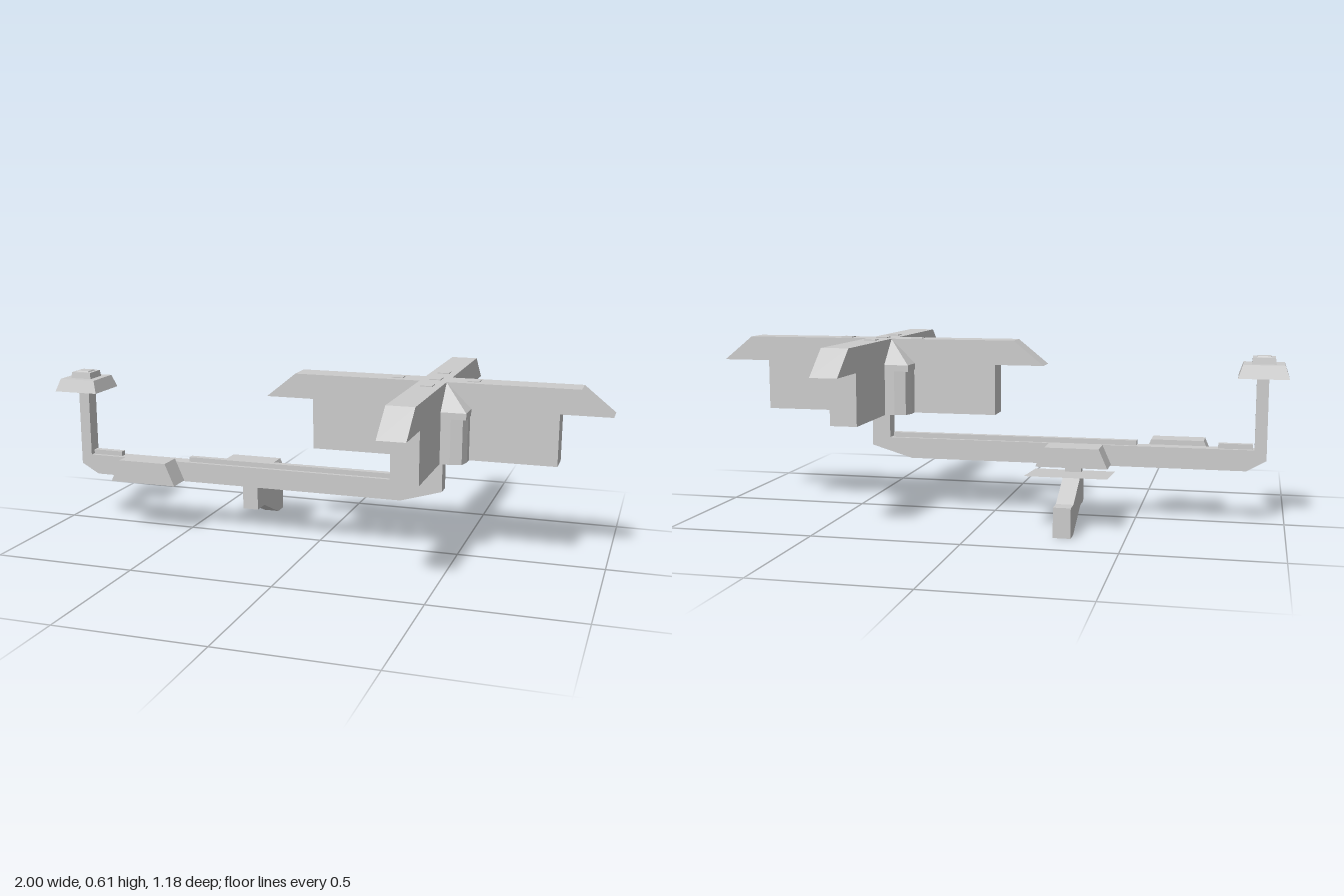
import * as THREE from 'three';

const material = new THREE.MeshStandardMaterial({ color: 0xcccccc, flatShading: true });
const thin = new THREE.MeshStandardMaterial({ color: 0xcccccc, flatShading: true, side: THREE.DoubleSide });

export function createModel() {
  const model = new THREE.Group();

  function add(parent, name, geometry, mat = material) {
    const mesh = new THREE.Mesh(geometry, mat);
    mesh.name = name;
    parent.add(mesh);
    return mesh;
  }
  // Box given by its lower and upper limits
  function box(parent, name, [x0, x1], [y0, y1], [z0, z1]) {
    const g = new THREE.BoxGeometry(x1 - x0, y1 - y0, z1 - z0);
    return add(parent, name, g.translate((x0 + x1) / 2, (y0 + y1) / 2, (z0 + z1) / 2));
  }
  // Outline in x-y, extruded from z0 to z1
  function prism(points, z0, z1) {
    const shape = new THREE.Shape(points.map(([x, y]) => new THREE.Vector2(x, y)));
    return new THREE.ExtrudeGeometry(shape, { depth: z1 - z0, bevelEnabled: false }).translate(0, 0, z0);
  }
  // Square frustum standing on y0
  function frustum(bottom, top, y0, y1) {
    const r = Math.SQRT2;
    return new THREE.CylinderGeometry(top * r, bottom * r, y1 - y0, 4)
      .rotateY(Math.PI / 4).translate(0, (y0 + y1) / 2, 0);
  }

  // Cross-shaped hall
  const hall = new THREE.Group();
  hall.name = 'crossHall';
  hall.position.x = 0.41;
  model.add(hall);
  for (const turn of [0, Math.PI / 2]) {
    const wing = new THREE.Group();
    wing.name = 'wing';
    wing.rotation.y = turn;
    hall.add(wing);
    // Wall and overhanging roof share one outline
    add(wing, 'wallAndRoof', prism([
      [-0.42, 0.35], [0.42, 0.35], [0.42, 0.525], [0.59, 0.525],
      [0.485, 0.61], [-0.485, 0.61], [-0.59, 0.525], [-0.42, 0.525],
    ], -0.046, 0.046));
    for (const s of [-1, 1]) {
      box(wing, 'roofHatch', [s * 0.13 - 0.02, s * 0.13 + 0.02], [0.6, 0.613], [-0.02, 0.02]);
    }
  }
  box(hall, 'centreHatch', [-0.02, 0.02], [0.6, 0.613], [-0.02, 0.02]);

  // Faceted turrets filling the four inner corners
  const plan = [];
  for (let i = 0; i < 4; i++) {
    const c = Math.round(Math.cos(i * Math.PI / 2)), s = Math.round(Math.sin(i * Math.PI / 2));
    for (const [u, v] of [[0.128, 0.08], [0.118, 0.118], [0.08, 0.128]]) plan.push([u * c - v * s, u * s + v * c]);
  }
  add(hall, 'turretWalls', prism(plan, 0.35, 0.505).rotateX(-Math.PI / 2));
  box(hall, 'turretEaves', [-0.131, 0.131], [0.503, 0.525], [-0.131, 0.131]);
  add(hall, 'turretRoofs', frustum(0.131, 0.045, 0.525, 0.61));

  // Long boom with an upright at each end
  add(model, 'boom', prism([
    [-0.935, 0.5], [-0.935, 0.22], [-0.87, 0.183], [0.3, 0.183], [0.445, 0.226], [0.445, 0.36],
    [0.38, 0.36], [0.38, 0.255], [-0.895, 0.255], [-0.895, 0.5],
  ], -0.026, 0.026));
  box(model, 'longRail', [-0.5, 0.37], [0.25, 0.272], [-0.012, 0.012]);
  box(model, 'shortRail', [-0.89, -0.775], [0.25, 0.272], [-0.012, 0.012]);

  // Stepped cap on the outer upright
  const cap = new THREE.Group();
  cap.name = 'endCap';
  cap.position.x = -0.917;
  model.add(cap);
  add(cap, 'capBase', frustum(0.083, 0.068, 0.5, 0.545));
  add(cap, 'capStep', frustum(0.04, 0.037, 0.545, 0.567));
  add(cap, 'capTop', frustum(0.024, 0.022, 0.567, 0.571));

  // Tapered side pods, each joined to the boom by a short neck
  const pods = [
    ['frontPod', -0.635, 0.125, 0.09, 0.19, 0.27, 0.04, 0.127],
    ['rearPod', -0.293, 0.123, 0.093, 0.19, 0.257, -0.135, -0.038],
  ];
  for (const [name, x, wide, narrow, y0, y1, z0, z1] of pods) {
    add(model, name, prism([[x - wide, y0], [x + wide, y0], [x + narrow, y1], [x - narrow, y1]], z0, z1));
    const side = Math.sign(z0);
    box(model, name + 'Neck', [x - 0.04, x + 0.04], [0.195, 0.24],
      side > 0 ? [0.02, 0.045] : [-0.045, -0.02]);
  }

  // Thin platform under the rear pod, tilted slightly
  const platform = add(model, 'platform', new THREE.PlaneGeometry(0.275, 0.212).rotateX(-Math.PI / 2), thin);
  platform.position.set(-0.297, 0.178, -0.174);
  platform.rotation.x = 0.06;

  // Cranked ramp below the platform, running to the rear
  box(model, 'rampNeck', [-0.325, -0.27], [0.16, 0.195], [-0.122, -0.09]);
  add(model, 'ramp', prism([
    [0.08, 0.067], [0.147, 0.067], [0.297, 0], [0.352, 0],
    [0.352, 0.1], [0.297, 0.1], [0.147, 0.17], [0.08, 0.17],
  ], -0.328, -0.27).rotateY(Math.PI / 2));

  return model;
}
